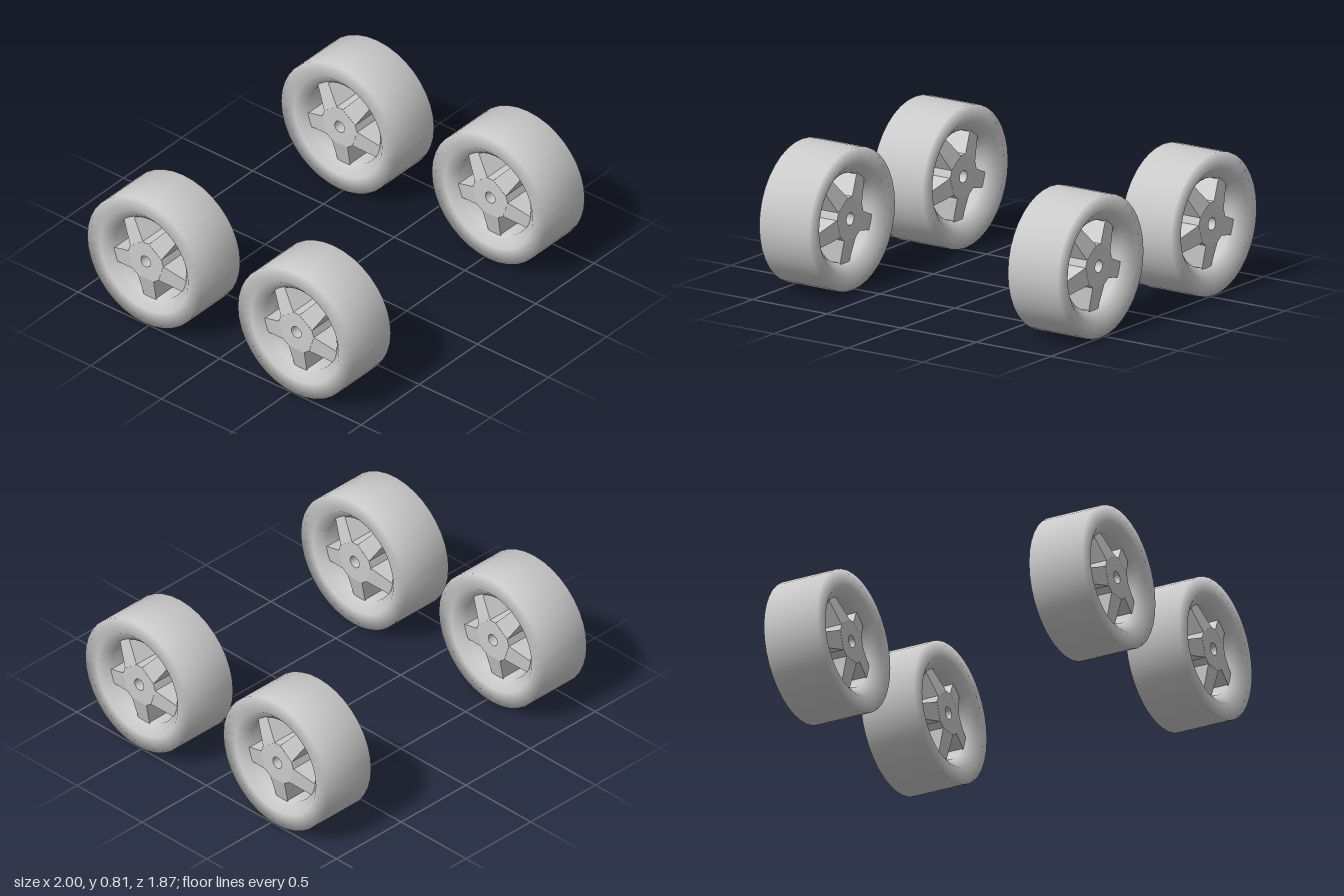
import * as THREE from 'three';

const RADIUS = 0.403, HALF_WIDTH = 0.167, SPOKES = 5;
const material = new THREE.MeshStandardMaterial({ color: 0xcccccc });

// Tyre and rim band: one closed profile with bevelled openings on both sides
function tyreGeometry() {
  const profile = [
    [0.25, 0], [0.25, -0.11], [0.31, -HALF_WIDTH], [RADIUS, -HALF_WIDTH],
    [RADIUS, HALF_WIDTH], [0.31, HALF_WIDTH], [0.25, 0.11], [0.25, 0],
  ].map(([r, h]) => new THREE.Vector2(r, h));
  return new THREE.LatheGeometry(profile, 36).rotateZ(-Math.PI / 2);
}

const spokeAngle = (i) => -Math.PI / 2 + (i * Math.PI * 2) / SPOKES;

// Hub: ten-sided plate with an axle hole, flats facing the spokes
function hubGeometry() {
  const points = [];
  for (let i = 0; i < SPOKES; i++) {
    for (const side of [-0.055, 0.055]) {
      points.push(new THREE.Vector2(0.112, side).rotateAround(new THREE.Vector2(), spokeAngle(i)));
    }
  }
  const shape = new THREE.Shape(points);
  shape.holes.push(new THREE.Path().absarc(0, 0, 0.035, 0, Math.PI * 2, true));
  return new THREE.ExtrudeGeometry(shape, { depth: 0.31, bevelEnabled: false, curveSegments: 10 })
    .translate(0, 0, -0.155).rotateY(Math.PI / 2);
}

// Spoke: bar that narrows and thins from the hub to the rim
function spokeGeometry(angle) {
  const geometry = new THREE.BoxGeometry(1, 1, 1);
  const p = geometry.attributes.position;
  for (let i = 0; i < p.count; i++) {
    const tip = p.getX(i) > 0;
    p.setXYZ(i, tip ? 0.265 : 0.111, p.getY(i) * (tip ? 0.085 : 0.11), p.getZ(i) * (tip ? 0.23 : 0.308));
  }
  geometry.computeVertexNormals();
  return geometry.rotateZ(angle).rotateY(Math.PI / 2);
}

function createWheel(name) {
  const wheel = new THREE.Group();
  wheel.name = name;
  const add = (part, geometry) => {
    const mesh = new THREE.Mesh(geometry, material);
    mesh.name = part;
    wheel.add(mesh);
  };
  add('tyre', tyreGeometry());
  add('hub', hubGeometry());
  for (let i = 0; i < SPOKES; i++) add('spoke', spokeGeometry(spokeAngle(i)));
  return wheel;
}

export function createModel() {
  const model = new THREE.Group();
  model.name = 'wheelSet';
  for (const [end, z] of [['front', 0.532], ['rear', -0.532]]) {
    for (const [side, x] of [['Left', 0.833], ['Right', -0.833]]) {
      const wheel = createWheel(`${end}${side}Wheel`);
      wheel.position.set(x, RADIUS, z);
      model.add(wheel);
    }
  }
  return model;
}
